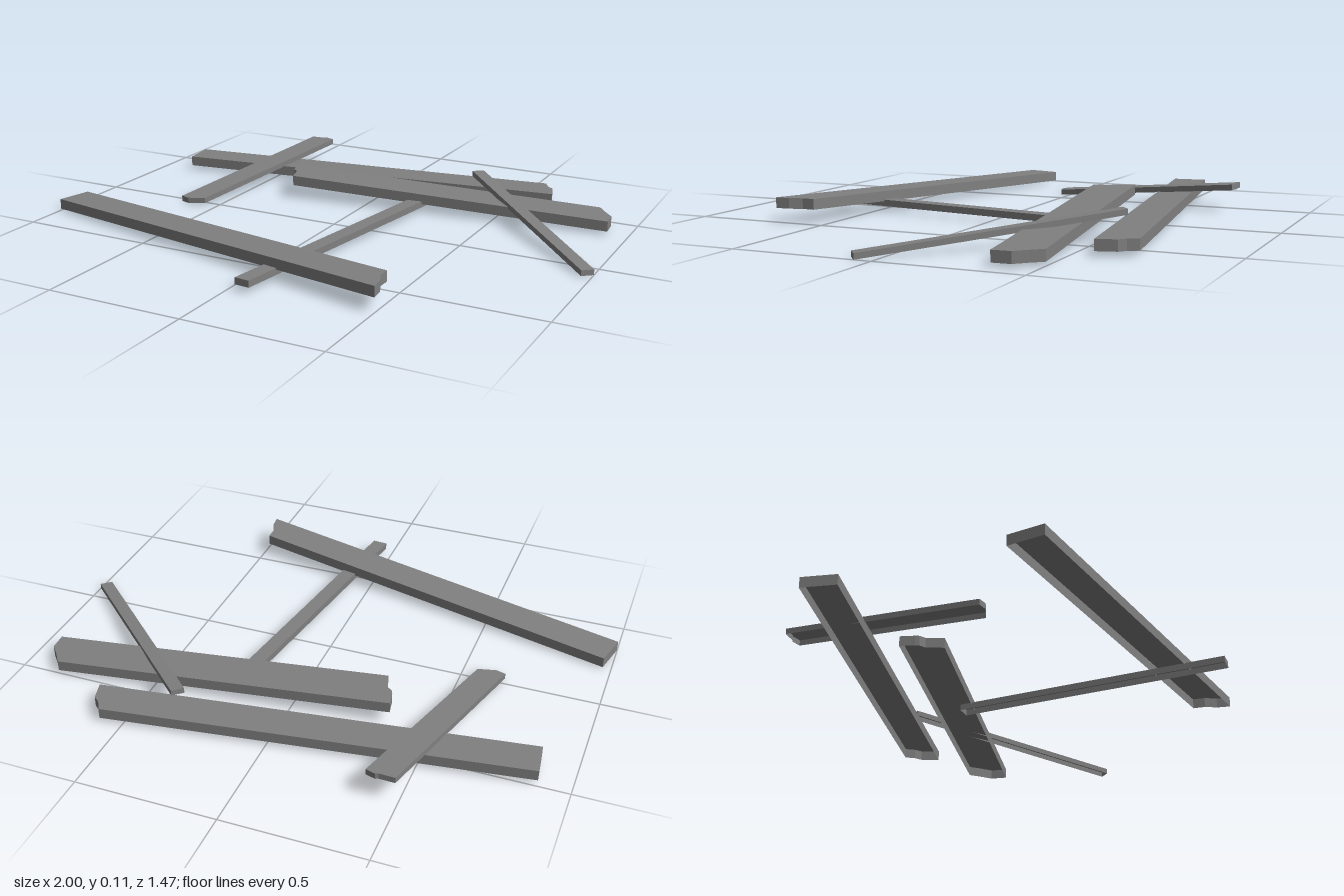
import * as THREE from 'three';

const wood = new THREE.MeshStandardMaterial({ color: 0x808080, side: THREE.DoubleSide });
wood.name = 'grey wood';

// Each plank: outline seen from above [x, z], axis ends [x, z], underside height at each end, thickness
const planks = [
  { name: 'backPlank', axis: [[-0.88, -0.43], [0.63, -0.63]], low: [0.017, 0.015], thick: 0.038,
    outline: [[-0.89, -0.49], [0.58, -0.695], [0.6, -0.66], [0.625, -0.64], [0.645, -0.57], [-0.875, -0.365]] },
  { name: 'middlePlank', axis: [[-0.32, -0.29], [0.92, -0.43]], low: [0.052, 0.012], thick: 0.038,
    outline: [[-0.35, -0.365], [0.855, -0.5], [0.885, -0.46], [0.92, -0.42], [0.925, -0.355],
      [-0.295, -0.215], [-0.315, -0.28], [-0.335, -0.295], [-0.34, -0.31]] },
  { name: 'frontPlank', axis: [[-0.985, 0.28], [0.49, 0.615]], low: [0.007, 0.051], thick: 0.038,
    outline: [[-0.97, 0.215], [0.475, 0.545], [0.475, 0.59], [0.495, 0.635], [0.5, 0.685], [-1, 0.34]] },
  { name: 'crossPlank', axis: [[-0.6, 0.04], [-0.44, -0.735]], low: [0.002, 0.084], thick: 0.021,
    outline: [[-0.49, -0.735], [-0.435, -0.735], [-0.425, -0.74], [-0.39, -0.73],
      [-0.555, 0.02], [-0.62, 0.04], [-0.655, 0.03]] },
  { name: 'longStick', axis: [[0.05, 0.73], [0.21, -0.31]], low: [0.021, 0.021], thick: 0.024,
    outline: [[0.025, 0.725], [0.08, 0.73], [0.235, -0.31], [0.18, -0.315]] },
  { name: 'shortStick', axis: [[0.345, -0.565], [0.98, 0.075]], low: [0.087, 0.001], thick: 0.02,
    outline: [[0.325, -0.55], [0.36, -0.58], [1, 0.06], [0.965, 0.09]] },
];

// Top face and side walls, open underneath
function plankGeometry({ outline, axis, low, thick }) {
  let pts = outline.map(([x, z]) => new THREE.Vector2(x, z));
  if (THREE.ShapeUtils.isClockWise(pts)) pts = pts.reverse();
  const start = new THREE.Vector2(...axis[0]);
  const dir = new THREE.Vector2(...axis[1]).sub(start);
  const at = (p, lift) => {
    const t = p.clone().sub(start).dot(dir) / dir.lengthSq();
    return [p.x, Math.max(0, THREE.MathUtils.lerp(low[0], low[1], t)) + lift, p.y];
  };
  const pos = [];
  for (const [a, b, c] of THREE.ShapeUtils.triangulateShape(pts, [])) {
    pos.push(...at(pts[a], thick), ...at(pts[c], thick), ...at(pts[b], thick));
  }
  pts.forEach((p, i) => {
    const q = pts[(i + 1) % pts.length];
    const p0 = at(p, 0), p1 = at(p, thick), q0 = at(q, 0), q1 = at(q, thick);
    pos.push(...p0, ...p1, ...q1, ...p0, ...q1, ...q0);
  });
  const geometry = new THREE.BufferGeometry();
  geometry.setAttribute('position', new THREE.Float32BufferAttribute(pos, 3));
  geometry.computeVertexNormals();
  return geometry;
}

export function createModel() {
  const group = new THREE.Group();
  group.name = 'scatteredPlanks';
  for (const plank of planks) {
    const mesh = new THREE.Mesh(plankGeometry(plank), wood);
    mesh.name = plank.name;
    group.add(mesh);
  }
  return group;
}
